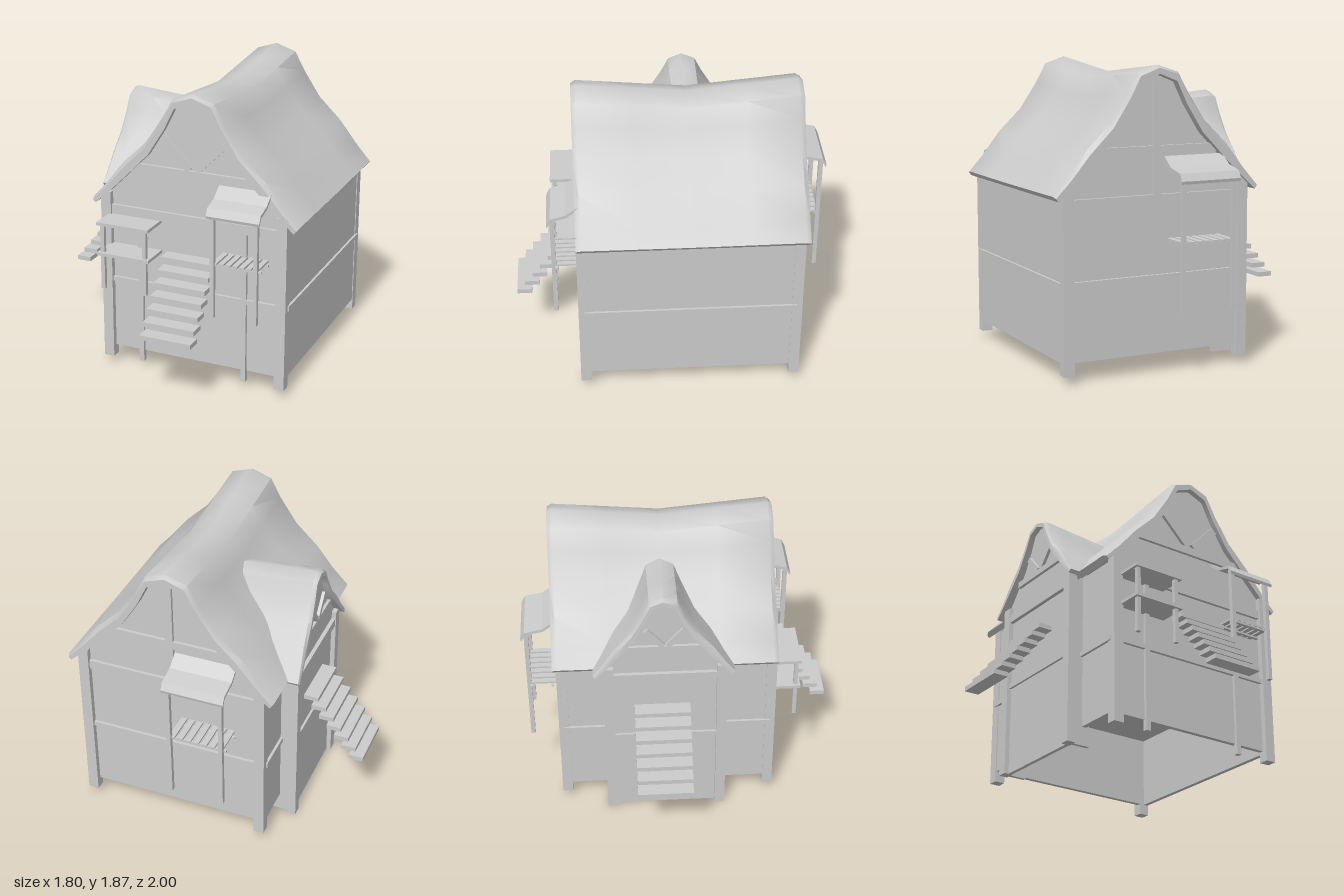
import * as THREE from 'three';
import { toCreasedNormals } from 'three/addons/utils/BufferGeometryUtils.js';

const mat = new THREE.MeshStandardMaterial({ color: 0xcccccc, side: THREE.DoubleSide });
const CX = 0.21; // ridge line of the main house
const CZ = -0.105; // ridge line of the side wing
const EAVE = 1.095;
const RISE = 0.775;

// Half profile of the thatch: distance from ridge, height
const OUTER = [[0, 1.87], [0.134, 1.825], [0.203, 1.7], [0.317, 1.53], [0.47, 1.383], [0.59, 1.23], [0.684, 1.125]];
const INNER = [[0, 1.815], [0.114, 1.77], [0.18, 1.635], [0.29, 1.46], [0.43, 1.315], [0.55, 1.195], [0.66, 1.095]];
const mirrored = half => [...half.slice(1).reverse().map(([d, y]) => [-d, y]), ...half];

function add(parent, name, geometry) {
  const mesh = new THREE.Mesh(geometry, mat);
  mesh.name = name;
  parent.add(mesh);
  return mesh;
}

// Box given by its limits on each axis
function box(parent, name, x0, x1, y0, y1, z0, z1) {
  const mesh = add(parent, name, new THREE.BoxGeometry(x1 - x0, y1 - y0, z1 - z0));
  mesh.position.set((x0 + x1) / 2, (y0 + y1) / 2, (z0 + z1) / 2);
}

// Timber between two points of an upright x/y plane
function brace(parent, a, b, z, width) {
  const dx = b[0] - a[0], dy = b[1] - a[1];
  const mesh = add(parent, 'brace', new THREE.BoxGeometry(Math.hypot(dx, dy), width, 0.03));
  mesh.position.set((a[0] + b[0]) / 2, (a[1] + b[1]) / 2, z);
  mesh.rotation.z = Math.atan2(dy, dx);
}

// Closed roof cross-section; k pulls the outer skin inwards to round the edge
function roofRing(place, k) {
  const inner = mirrored(INNER);
  const outer = mirrored(OUTER).map(([d, y], i) =>
    [d + (inner[i][0] - d) * k, y + (inner[i][1] - y) * k]);
  return [...outer, ...inner.reverse()].map(([d, y]) => place(d, y, (y - EAVE) / RISE));
}

// Skin over the rings, with a strip closing each end
function loft(rings) {
  const n = rings[0].length, index = [];
  for (let a = 0; a < rings.length - 1; a++) {
    for (let j = 0; j < n; j++) {
      const A = a * n + j, B = a * n + (j + 1) % n, C = B + n, D = A + n;
      index.push(A, D, B, B, D, C);
    }
  }
  const last = (rings.length - 1) * n;
  for (let i = 0; i < n / 2 - 1; i++) {
    const o = i, p = i + 1, q = n - 1 - i, r = n - 2 - i;
    index.push(o, p, q, p, r, q);
    index.push(last + o, last + q, last + p, last + p, last + q, last + r);
  }
  const geometry = new THREE.BufferGeometry();
  geometry.setAttribute('position', new THREE.Float32BufferAttribute(rings.flat(2), 3));
  geometry.setIndex(index);
  return toCreasedNormals(geometry, 0.75);
}

// Gable wall following the underside of the thatch
function gable(half, bottom, scaleD, scaleY, depth) {
  const top = mirrored(INNER.slice(0, 6)).reverse()
    .map(([d, y]) => [d * scaleD, EAVE + (y - EAVE) * scaleY]);
  const points = [[-half, bottom], [half, bottom], [half, EAVE + 0.02], ...top, [-half, EAVE + 0.02]];
  const shape = new THREE.Shape(points.map(p => new THREE.Vector2(...p)));
  return new THREE.ExtrudeGeometry(shape, { depth, bevelEnabled: false });
}

// Seven floating treads, descending towards +z
function stairs(parent, name, width) {
  const group = new THREE.Group();
  group.name = name;
  for (let i = 0; i < 7; i++) {
    const y = 0.42 + i * 0.0657, z = 0.953 - i * 0.052;
    box(group, 'tread', -width / 2, width / 2, y, y + 0.03, z - 0.048, z + 0.048);
  }
  parent.add(group);
  return group;
}

// Slatted balcony with two posts and a curved canopy, built outwards from z = 0
function canopyBalcony(parent, name, width, reach, postBottom, floorY) {
  const group = new THREE.Group();
  group.name = name;
  const w = width / 2, slats = 7;
  const line = [[-0.02, 1.325], [0.06, 1.265], [reach - 0.025, 1.24], [reach, 1.195]];
  const pts = [...line, ...line.slice().reverse().map(([z, y]) => [z - 0.005, y - 0.018])];
  const shape = new THREE.Shape(pts.map(p => new THREE.Vector2(...p)));
  const canopy = add(group, 'canopy', new THREE.ExtrudeGeometry(shape, { depth: width, bevelEnabled: false }));
  canopy.rotation.y = -Math.PI / 2;
  canopy.position.x = w;
  const pz = reach - 0.035;
  for (const s of [-1, 1]) {
    const x = s * (w - 0.03);
    box(group, 'post', x - 0.013, x + 0.013, postBottom, 1.225, pz - 0.014, pz + 0.014);
  }
  for (const z of [0.015, pz - 0.015]) box(group, 'rail', -w + 0.02, w, floorY - 0.012, floorY, z - 0.01, z + 0.01);
  const pitch = (width - 0.03) / slats;
  for (let i = 0; i < slats; i++) {
    const x = -w + 0.025 + i * pitch;
    box(group, 'slat', x, x + pitch * 0.72, floorY, floorY + 0.012, -0.03, pz);
  }
  parent.add(group);
  return group;
}

export function createModel() {
  const model = new THREE.Group();
  model.name = 'timberHouse';

  // Main walls, open below a raised floor
  for (const [name, z] of [['frontWall', 0.54], ['backWall', -0.75]]) {
    add(model, name, gable(0.613, 0.12, 1, 1, 0.03)).position.set(CX, 0, z);
  }
  box(model, 'leftWall', 0.795, 0.825, 0.12, 1.12, -0.745, 0.565);
  box(model, 'rightWall', -0.403, -0.373, 0.12, 1.12, -0.745, 0.565);
  box(model, 'floor', -0.39, 0.81, 0.59, 0.61, -0.74, 0.56);

  // Corner posts and side beams
  for (const x of [-0.41, 0.762]) {
    for (const z of [-0.785, 0.54]) box(model, 'cornerPost', x, x + 0.068, 0.05, 1.18, z, z + 0.065);
  }
  for (const x of [-0.42, 0.81]) box(model, 'sideBeam', x, x + 0.03, 0.577, 0.607, -0.75, 0.57);

  // Timber framing on both gables
  for (const z of [0.575, -0.755]) {
    const beam = (x0, x1, y0, y1) => box(model, 'gableBeam', x0, x1, y0, y1, z - 0.015, z + 0.015);
    beam(-0.345, 0.765, 0.577, 0.607);
    beam(-0.345, 0.765, 1.035, 1.095);
    beam(-0.2, 0.62, 1.335, 1.388);
  }
  for (const x of [-0.165, 0.535]) box(model, 'framePost', x, x + 0.032, 0.05, 1.04, 0.56, 0.59);
  for (const s of [-1, 1]) brace(model, [CX + s * 0.02, 1.395], [CX + s * 0.2, 1.575], 0.575, 0.05);
  box(model, 'kingPost', CX - 0.025, CX + 0.025, 1.09, 1.8, -0.77, -0.74);

  // Main roof with a sagging ridge
  const half = 0.705;
  const mainRings = [-1, -0.96, -0.5, 0, 0.5, 0.96, 1].map(t =>
    roofRing((d, y, h) => [CX + d, y - 0.07 * h * (1 - Math.abs(t)), -0.1 + t * half],
      Math.abs(t) === 1 ? 0.35 : 0));
  add(model, 'mainRoof', loft(mainRings));

  // Side wing, facing -x
  const wing = new THREE.Group();
  wing.name = 'sideWing';
  model.add(wing);
  const front = new THREE.Group();
  front.name = 'wingFront';
  front.rotation.y = -Math.PI / 2;
  front.position.set(0, 0, CZ);
  wing.add(front);
  add(front, 'wingGable', gable(0.365, 0, 0.643, 0.73, 0.025)).position.z = 0.465;
  box(front, 'wingTie', -0.33, 0.33, 1.045, 1.1, 0.48, 0.515);
  box(front, 'wingBeam', -0.33, 0.33, 0.577, 0.607, 0.48, 0.505);
  box(front, 'wingCollar', -0.24, 0.24, 1.27, 1.31, 0.48, 0.51);
  for (const s of [-1, 1]) {
    brace(front, [s * 0.015, 1.31], [s * 0.12, 1.43], 0.495, 0.035);
    const x = s * 0.353;
    box(front, 'wingPost', x - 0.032, x + 0.032, 0, 1.15, 0.46, 0.52);
    box(front, 'wingSideWall', x - 0.012, x + 0.012, 0, 1.12, 0.35, 0.48);
  }

  // Wing roof, trimmed where it runs into the main roof
  const meetX = y => {
    if (y <= OUTER[6][1]) return CX - OUTER[6][0] + 0.04;
    const i = Math.max(1, OUTER.findIndex(p => p[1] <= y));
    const [a, b] = [OUTER[i - 1], OUTER[i]];
    return CX - a[0] - (b[0] - a[0]) * (a[1] - y) / (a[1] - b[1]) + 0.04;
  };
  const wingRings = [1, 0.66, 0.33, 0.05, 0].map(s => roofRing((d, y, h) => {
    const wy = 1.1 + 0.565 * h * (1 - 0.08 * s);
    const x0 = -0.545 + 0.025 * h;
    return [x0 + (meetX(wy) - x0) * s, wy, -0.115 + d * 0.643];
  }, s === 0 ? 0.35 : 0));
  add(wing, 'wingRoof', loft(wingRings));

  // Stairs at the front and at the wing
  stairs(model, 'frontStairs', 0.34).position.x = CX;
  const sideStairs = stairs(model, 'wingStairs', 0.35);
  sideStairs.rotation.y = -Math.PI / 2;
  sideStairs.position.set(0.1, 0, -0.125);

  // Canopied balconies, front and back
  canopyBalcony(model, 'frontBalcony', 0.34, 0.178, 0.53, 0.877).position.set(0.55, 0, 0.6);
  const back = canopyBalcony(model, 'backBalcony', 0.4, 0.2, 0.4, 0.815);
  back.rotation.y = Math.PI;
  back.position.set(-0.032, 0, -0.8);

  // Small two-deck balcony
  const deck = new THREE.Group();
  deck.name = 'smallBalcony';
  model.add(deck);
  box(deck, 'upperDeck', -0.36, -0.01, 1.015, 1.035, 0.57, 0.767);
  box(deck, 'lowerDeck', -0.36, -0.01, 0.815, 0.835, 0.57, 0.767);
  for (const x of [-0.33, -0.045]) box(deck, 'deckPost', x - 0.013, x + 0.013, 0.59, 1.02, 0.725, 0.75);

  return model;
}
